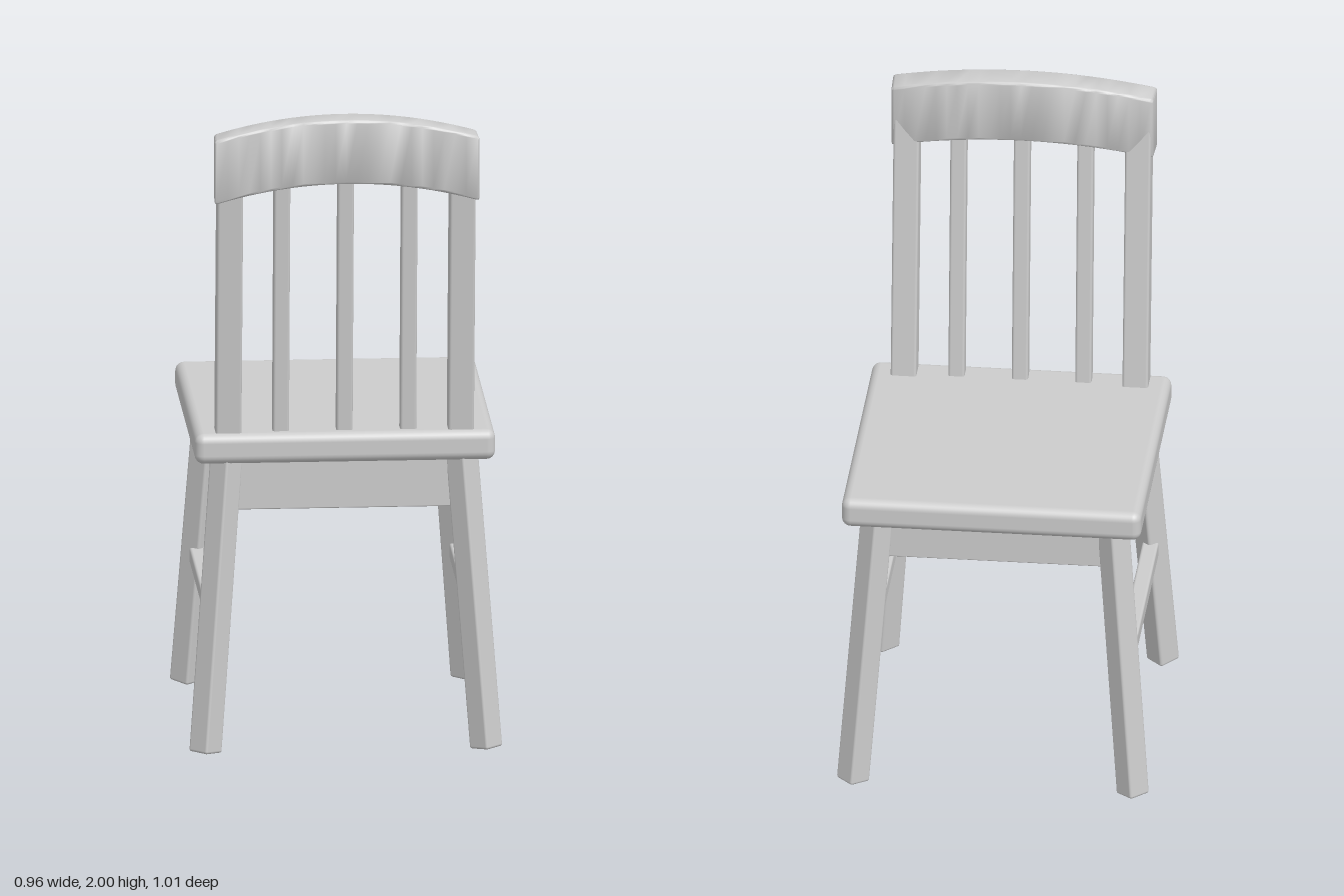
import * as THREE from 'three';
import { RoundedBoxGeometry } from 'three/addons/geometries/RoundedBoxGeometry.js';
import { toCreasedNormals } from 'three/addons/utils/BufferGeometryUtils.js';

export function createModel() {
  const chair = new THREE.Group();
  chair.name = 'chair';
  const paint = new THREE.MeshStandardMaterial({ color: 0xcccccc });
  paint.name = 'light grey';

  function add(name, geometry) {
    const mesh = new THREE.Mesh(geometry, paint);
    mesh.name = name;
    chair.add(mesh);
    return mesh;
  }

  function block(name, w, h, d, x, y, z, radius) {
    add(name, new RoundedBoxGeometry(w, h, d, 3, radius)).position.set(x, y, z);
  }

  // Square bar running between two points, optionally turned about its own axis
  function bar(name, from, to, width, twist = 0) {
    const a = new THREE.Vector3(...from);
    const b = new THREE.Vector3(...to);
    const axis = b.clone().sub(a);
    const geometry = new RoundedBoxGeometry(width, axis.length(), width, 2, 0.008);
    geometry.rotateY(twist);
    const mesh = add(name, geometry);
    mesh.position.copy(a).add(b).multiplyScalar(0.5);
    mesh.quaternion.setFromUnitVectors(new THREE.Vector3(0, 1, 0), axis.normalize());
  }

  // Seat board
  block('seat', 0.92, 0.095, 0.93, 0, 0.9525, -0.042, 0.028);

  // Apron boards between the legs
  for (const s of [-1, 1]) {
    const end = s > 0 ? 'back' : 'front';
    block(end + 'Apron', 0.678, 0.165, 0.04, 0, 0.8325, s * 0.355 - 0.007, 0.004);
    block(s > 0 ? 'leftApron' : 'rightApron', 0.04, 0.165, 0.682, s * 0.355, 0.8325, -0.008, 0.004);
  }

  for (const s of [-1, 1]) {
    const side = s > 0 ? 'left' : 'right';
    // Splayed legs, set with their corners to the sides
    bar(side + 'BackLeg', [s * 0.43, 0.005, 0.436], [s * 0.36, 0.93, 0.361], 0.074, Math.PI / 4);
    bar(side + 'FrontLeg', [s * 0.43, 0.005, -0.443], [s * 0.36, 0.93, -0.371], 0.074, Math.PI / 4);
    // Side stretcher
    bar(side + 'Stretcher', [s * 0.398, 0.415, -0.385], [s * 0.398, 0.415, 0.38], 0.05);
    // Leaning back post
    bar(side + 'Post', [s * 0.356, 0.96, 0.356], [s * 0.356, 1.87, 0.452], 0.079);
  }

  // Thin spindles
  for (const x of [-0.195, 0, 0.195]) {
    bar('spindle', [x, 0.96, 0.357], [x, 1.86, 0.428], 0.05);
  }

  // Top rail: rounded profile extruded sideways, then bowed upwards and forwards
  const hw = 0.046, hh = 0.101, r = 0.01, half = 0.404, bevel = 0.008;
  const profile = new THREE.Shape();
  profile.absarc(hw - r, hh - r, r, 0, Math.PI / 2);
  profile.absarc(r - hw, hh - r, r, Math.PI / 2, Math.PI);
  profile.absarc(r - hw, r - hh, r, Math.PI, Math.PI * 1.5);
  profile.absarc(hw - r, r - hh, r, Math.PI * 1.5, Math.PI * 2);
  const rail = new THREE.ExtrudeGeometry(profile, {
    depth: 2 * (half - bevel), steps: 24, curveSegments: 3,
    bevelThickness: bevel, bevelSize: bevel, bevelOffset: -bevel, bevelSegments: 2,
  });
  rail.translate(0, 0, bevel - half);
  rail.rotateY(Math.PI / 2);
  const p = rail.attributes.position;
  for (let i = 0; i < p.count; i++) {
    const x = p.getX(i), z = p.getZ(i);
    const bow = 1 - (x / half) ** 2;
    p.setXYZ(i, x * (1 + z * 0.1), p.getY(i) + 1.847 + 0.052 * bow, z + 0.457 - 0.028 * bow);
  }
  add('topRail', toCreasedNormals(rail, 0.7));

  return chair;
}
